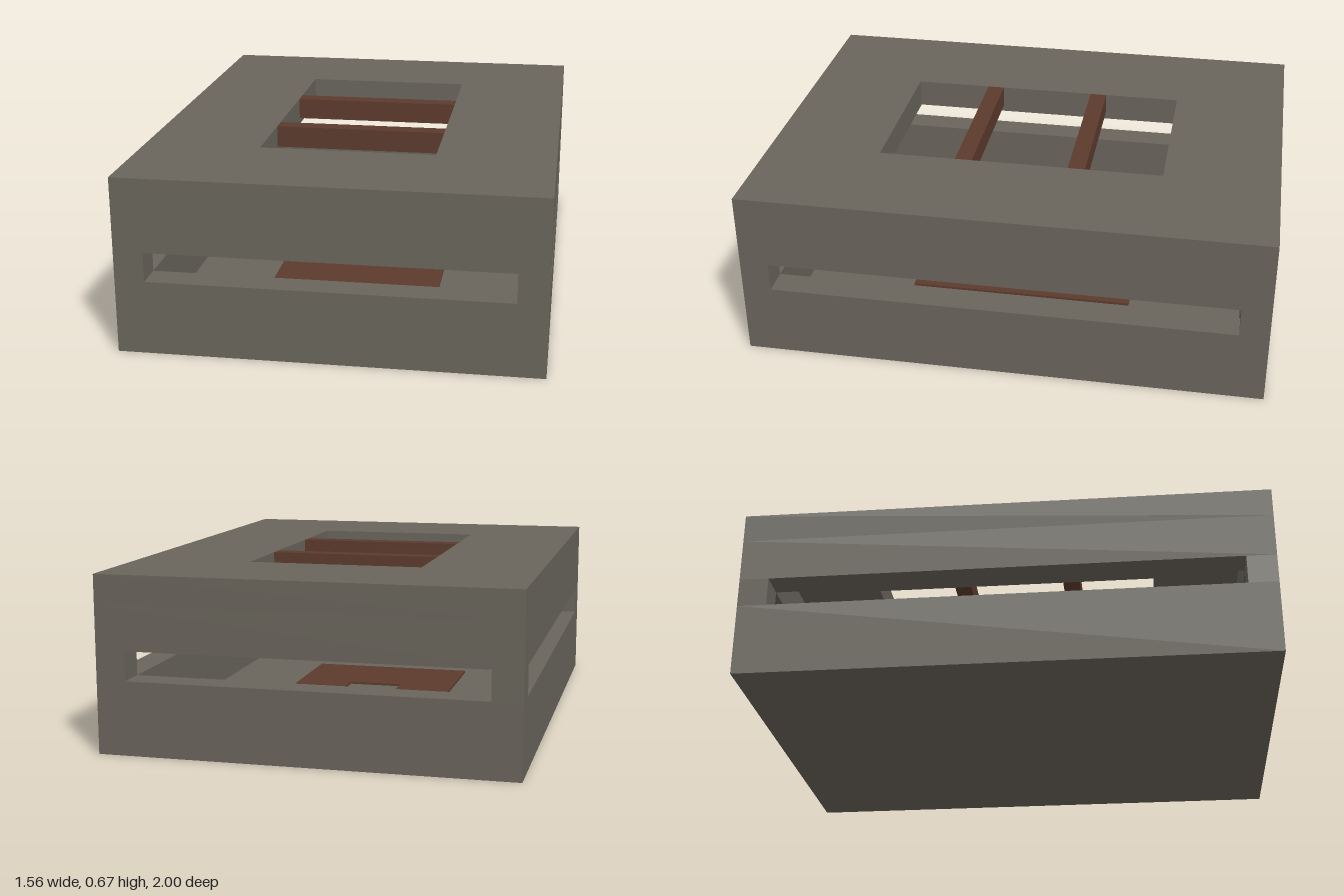
import * as THREE from 'three';

const W = 1.556, L = 2, WALL = 0.111;          // outer width, length, wall thickness
const FLOOR = 0.056, SLIT_LOW = 0.278, SLIT_HIGH = 0.389, CEILING = 0.556, TOP = 0.667;

const concrete = new THREE.MeshStandardMaterial({ color: 0x69655c });
concrete.name = 'concrete';
const wood = new THREE.MeshStandardMaterial({ color: 0x5c3a2c });
wood.name = 'wood';

const corners = (w, l) => [[-w, -l], [w, -l], [w, l], [-w, l]].map(([x, y]) => new THREE.Vector2(x / 2, y / 2));

export function createModel() {
  const model = new THREE.Group();
  model.name = 'bunker';

  const add = (name, geometry, material) => {
    const mesh = new THREE.Mesh(geometry, material);
    mesh.name = name;
    model.add(mesh);
    return mesh;
  };

  // Horizontal rectangular slab with a rectangular opening, from height y0 to y1
  const frame = (name, w, l, holeW, holeL, y0, y1, material) => {
    const shape = new THREE.Shape(corners(w, l));
    shape.holes.push(new THREE.Path(corners(holeW, holeL).reverse()));
    const geometry = new THREE.ExtrudeGeometry(shape, { depth: y1 - y0, bevelEnabled: false });
    geometry.rotateX(-Math.PI / 2).translate(0, y0, 0);
    return add(name, geometry, material);
  };

  const box = (name, w, l, y0, y1, x, z, material) =>
    add(name, new THREE.BoxGeometry(w, y1 - y0, l).translate(x, (y0 + y1) / 2, z), material);

  // Hollow concrete shell: floor, walls below and above the viewing slit, roof
  const innerW = W - 2 * WALL, innerL = L - 2 * WALL;
  box('floor', innerW, innerL, 0, FLOOR, 0, 0, concrete);
  frame('lowerWalls', W, L, innerW, innerL, 0, SLIT_LOW, concrete);
  frame('upperWalls', W, L, innerW, innerL, SLIT_HIGH, CEILING, concrete);
  frame('roof', W, L, 0.667, 1.112, CEILING, TOP, concrete);

  // Corner posts carry the upper walls across the slit
  for (const sx of [-1, 1]) for (const sz of [-1, 1]) {
    box('cornerPost', WALL, WALL, SLIT_LOW, SLIT_HIGH,
      sx * (W - WALL) / 2, sz * (L - WALL) / 2, concrete);
  }

  // Wooden floor panel with a square opening
  frame('floorPanel', 0.667, 0.889, 0.218, 0.218, FLOOR, FLOOR + 0.009, wood);

  // Two beams across the roof opening
  for (const s of [-1, 1]) box('roofBeam', 0.667, 0.067, 0.583, TOP, 0, s * 0.222, wood);

  return model;
}
